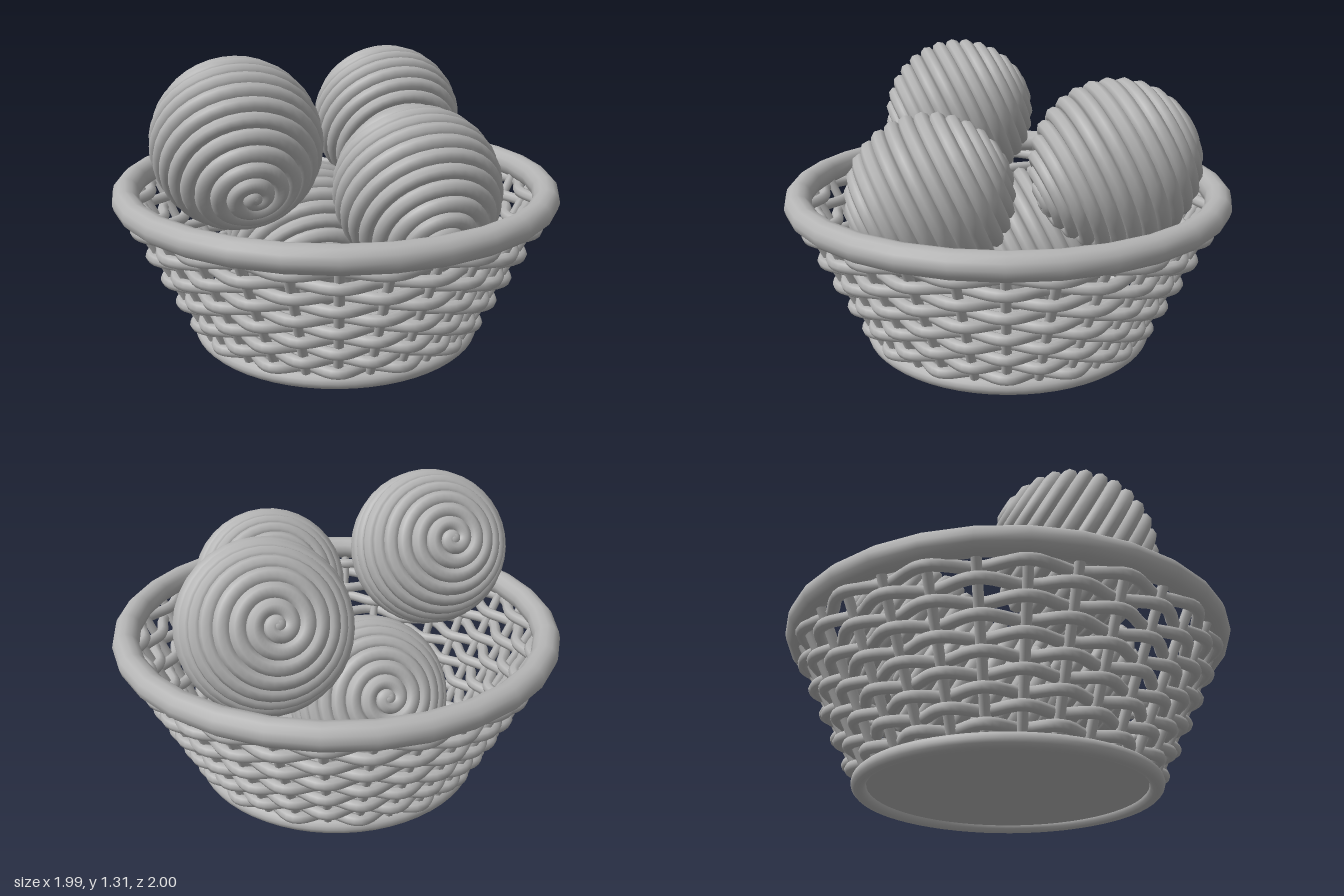
import * as THREE from 'three';

const fibre = new THREE.MeshStandardMaterial({ color: 0xb4b4b4 });
fibre.name = 'pale grey fibre';

// Curve from a function, sampled evenly in its parameter
class RuleCurve extends THREE.Curve {
  constructor(rule) { super(); this.rule = rule; }
  getPoint(t, target = new THREE.Vector3()) { return this.rule(t, target); }
  getUtoTmapping(u) { return u; }
}

function add(parent, name, geometry) {
  const mesh = new THREE.Mesh(geometry, fibre);
  mesh.name = name;
  parent.add(mesh);
  return mesh;
}

const STAKES = 30, ROWS = 10;
const wallRadius = y => 0.612 + (y - 0.03) * 0.5;

function hoop(parent, name, y, radius, tube, segments) {
  const geometry = new THREE.TorusGeometry(radius, tube, 12, segments);
  geometry.rotateZ(Math.PI / 2).rotateX(Math.PI / 2);
  add(parent, name, geometry).position.y = y;
}

function makeBasket() {
  const basket = new THREE.Group();
  basket.name = 'basket';

  // Rim, foot ring and floor
  hoop(basket, 'rim', 0.687, 0.94, 0.058, 30);
  hoop(basket, 'footRing', 0.033, 0.633, 0.033, 60);
  add(basket, 'floor', new THREE.CylinderGeometry(0.625, 0.625, 0.008, 60)).position.y = 0.035;

  // Upright stakes
  for (let i = 0; i < STAKES; i++) {
    const a = (i / STAKES) * Math.PI * 2;
    const at = y => new THREE.Vector3(Math.sin(a) * wallRadius(y), y, Math.cos(a) * wallRadius(y));
    add(basket, 'stake', new THREE.TubeGeometry(new THREE.LineCurve3(at(0.03), at(0.68)), 1, 0.021, 8));
  }

  // Woven rows passing alternately outside and inside the stakes
  for (let row = 0; row < ROWS; row++) {
    const y = 0.087 + row * 0.0588;
    const side = row % 2 ? -1 : 1;
    const path = new RuleCurve((t, p) => {
      const a = t * Math.PI * 2;
      const r = wallRadius(y) + side * 0.03 * Math.cos(a * STAKES / 2);
      return p.set(Math.sin(a) * r, y, Math.cos(a) * r);
    });
    add(basket, 'wovenRow', new THREE.TubeGeometry(path, 180, 0.026, 8, true));
  }
  return basket;
}

// Ball wound from one cord, coiling from pole to pole
const TURNS = 16, CORE = 0.326, CORD = 0.035;
const coil = new RuleCurve((t, p) => p.setFromSphericalCoords(CORE, Math.PI * t, Math.PI * 2 * TURNS * t));
const coilGeometry = new THREE.TubeGeometry(coil, TURNS * 36, CORD, 8);
const endGeometry = new THREE.SphereGeometry(CORD, 10, 8);
const axis = new THREE.Vector3(-0.28, 0.45, -0.85).normalize();

function makeBall(x, y, z) {
  const ball = new THREE.Group();
  ball.name = 'woundBall';
  add(ball, 'coiledCord', coilGeometry);
  for (const s of [-1, 1]) add(ball, 'cordEnd', endGeometry).position.y = s * CORE;
  ball.quaternion.setFromUnitVectors(new THREE.Vector3(0, 1, 0), axis);
  ball.position.set(x, y, z);
  return ball;
}

export function createModel() {
  const model = new THREE.Group();
  model.name = 'basketOfBalls';
  model.add(makeBasket());
  model.add(makeBall(-0.415, 0.95, 0.29));
  model.add(makeBall(0.34, 0.745, 0.29));
  model.add(makeBall(0.26, 0.89, -0.475));
  model.add(makeBall(-0.15, 0.395, -0.14));
  return model;
}
